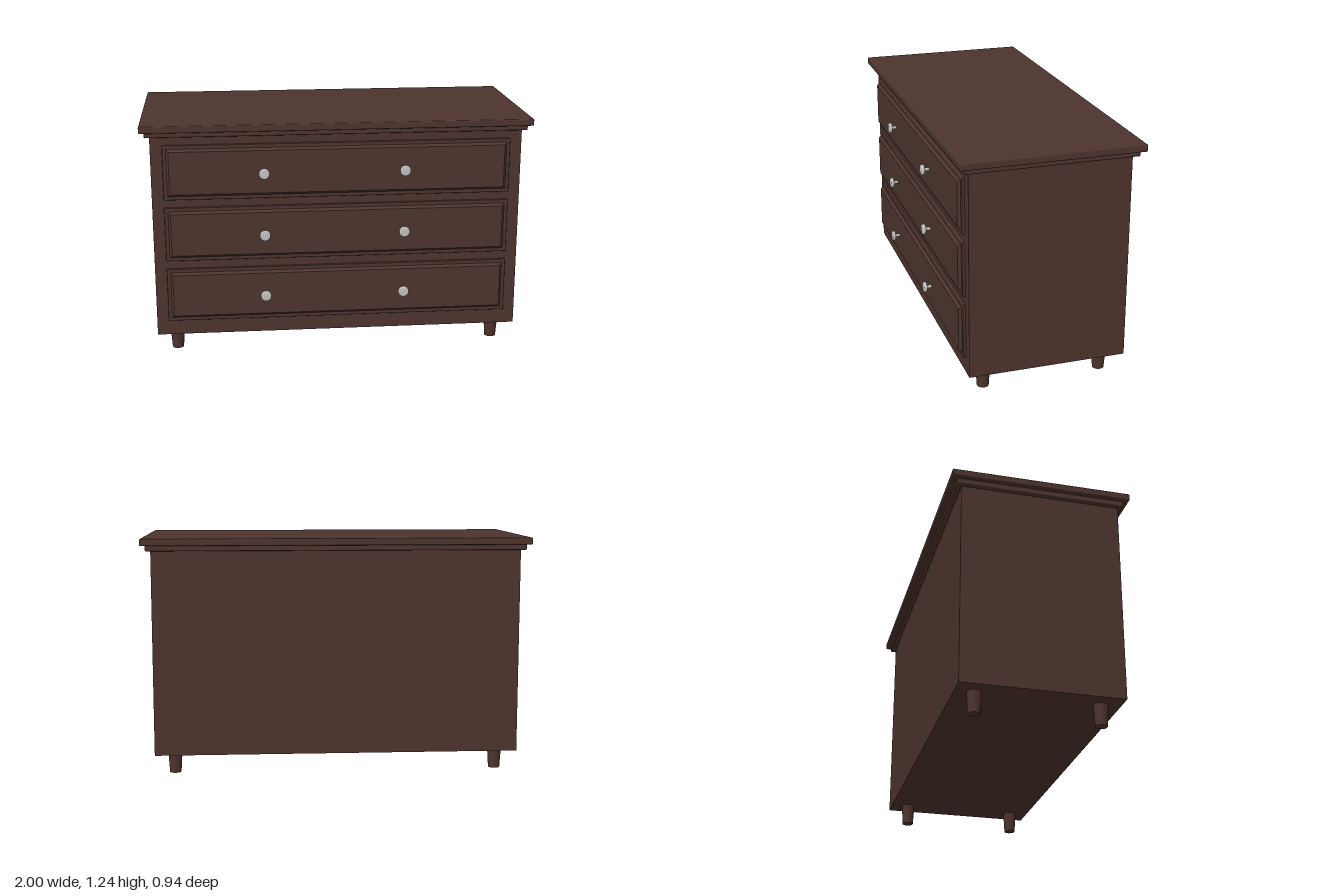
import * as THREE from 'three';
import { RoundedBoxGeometry } from 'three/addons/geometries/RoundedBoxGeometry.js';

const wood = new THREE.MeshStandardMaterial({ color: 0x4e342e });
wood.name = 'darkWood';
const metal = new THREE.MeshStandardMaterial({ color: 0xc4c4c4 });
metal.name = 'silverMetal';

function add(parent, name, geometry, material, x = 0, y = 0, z = 0) {
  const mesh = new THREE.Mesh(geometry, material);
  mesh.name = name;
  mesh.position.set(x, y, z);
  parent.add(mesh);
  return mesh;
}

// Box whose front face is inset on all four sides, giving a bevelled panel
function bevelledPanel(w, h, d, inset) {
  const g = new THREE.BoxGeometry(w, h, d).toNonIndexed();
  const p = g.attributes.position;
  for (let i = 0; i < p.count; i++) {
    if (p.getZ(i) > 0) {
      p.setX(i, p.getX(i) - Math.sign(p.getX(i)) * inset);
      p.setY(i, p.getY(i) - Math.sign(p.getY(i)) * inset);
    }
  }
  g.computeVertexNormals();
  return g;
}

// Knob profile: slim stem and rounded disc, turned to point along +z
function knobGeometry() {
  const profile = [
    [0.009, 0], [0.009, 0.026], [0.022, 0.026], [0.026, 0.028], [0.028, 0.032],
    [0.028, 0.038], [0.026, 0.042], [0.022, 0.044], [0, 0.044],
  ].map(([r, y]) => new THREE.Vector2(r, y));
  return new THREE.LatheGeometry(profile, 24).rotateX(Math.PI / 2);
}

export function createModel() {
  const model = new THREE.Group();
  model.name = 'chestOfDrawers';

  // Carcass and two-step top
  add(model, 'cabinet', new THREE.BoxGeometry(1.9, 1.065, 0.814), wood, 0, 0.642, -0.007);
  add(model, 'topMoulding', new RoundedBoxGeometry(1.95, 0.03, 0.866, 2, 0.005), wood, 0, 1.187, -0.009);
  add(model, 'topBoard', new RoundedBoxGeometry(2, 0.036, 0.92, 2, 0.006), wood, 0, 1.218, -0.009);

  // Tapered feet
  const foot = new THREE.CylinderGeometry(0.037, 0.03, 0.11, 24);
  for (const x of [-0.85, 0.85]) {
    for (const z of [0.302, -0.318]) add(model, 'foot', foot, wood, x, 0.055, z);
  }

  // Drawers: flat frame, raised bevelled panel, two knobs
  const frame = new RoundedBoxGeometry(1.78, 0.285, 0.024, 2, 0.004);
  const panel = bevelledPanel(1.745, 0.25, 0.016, 0.014);
  const knob = knobGeometry();
  for (const y of [0.987, 0.661, 0.332]) {
    const drawer = new THREE.Group();
    drawer.name = 'drawer';
    drawer.position.y = y;
    add(drawer, 'drawerFront', frame, wood, 0, 0, 0.402);
    add(drawer, 'drawerPanel', panel, wood, 0, 0, 0.42);
    for (const x of [-0.38, 0.34]) add(drawer, 'knob', knob, metal, x, -0.003, 0.427);
    model.add(drawer);
  }
  return model;
}
